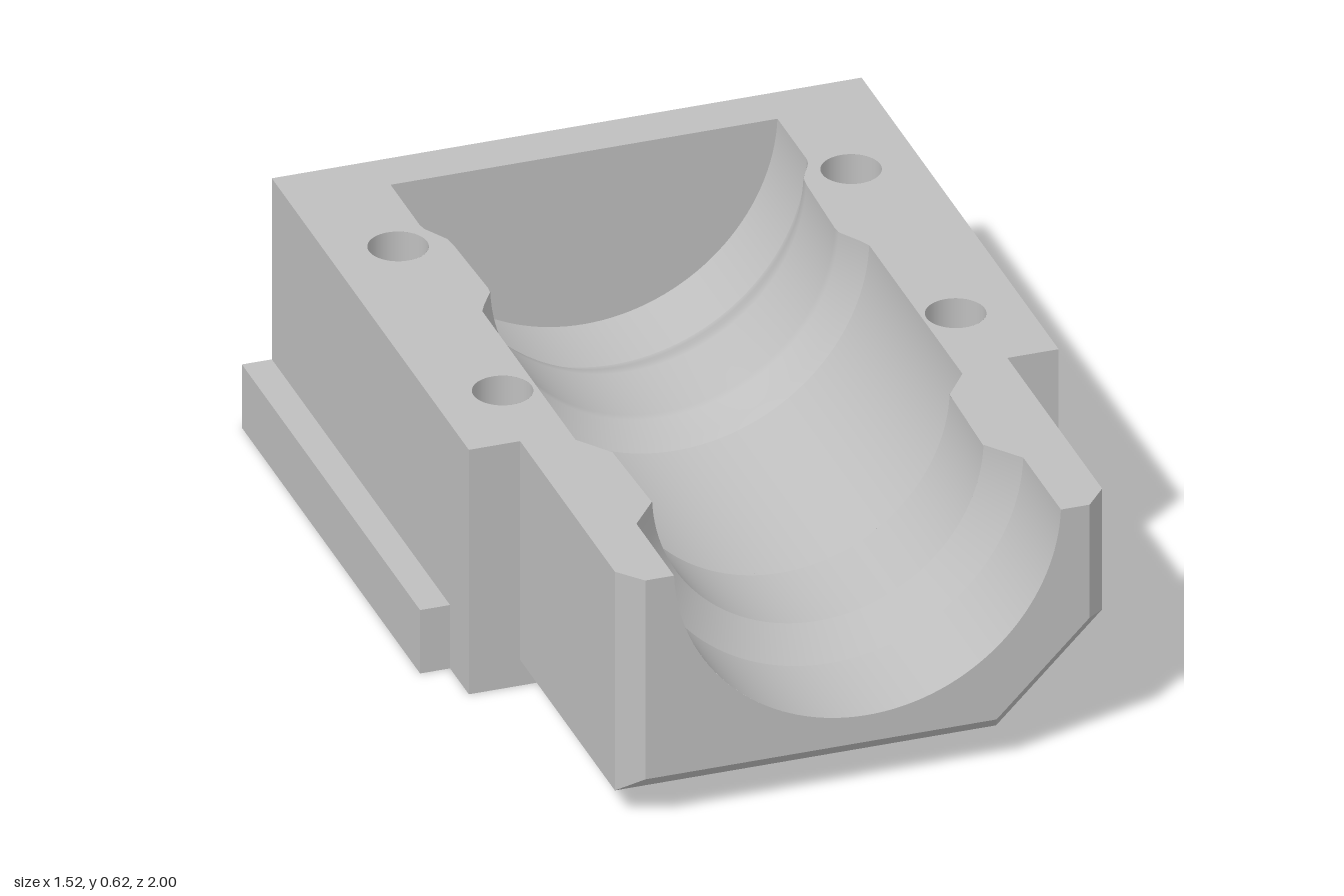
import * as THREE from 'three';

const TOP = 0.617, AXIS = 0.635, RISE = AXIS - TOP; // bore axis sits just above the split plane
const BASE = 0.16, R = 0.453;
const HOLES = [[0.53, -0.615], [-0.53, -0.615], [0.53, 0.08], [-0.53, 0.08]];

// Bore profile as [z, radius], one list per smooth stretch
const BORE = [
  [[1, R], [0.75, R]],
  [[0.75, R], [0.67, 0.388]],
  [[0.67, 0.388], [0.425, 0.395]],
  [[0.425, 0.395], [0.345, R]],
  [[0.345, R], [-0.275, R]],
  [[-0.275, R], [-0.3, 0.44], [-0.35, 0.408], [-0.37, 0.406], [-0.58, 0.413], [-0.61, 0.417], [-0.67, 0.449], [-0.69, R]],
  [[-0.69, R], [-0.885, R]],
];

const v2 = (pts) => pts.map(([x, y]) => new THREE.Vector2(x, y));
const mirror = (pts) => [...pts, ...pts.map(([x, y]) => [-x, y]).reverse()];
const tilt = (r) => Math.asin(RISE / r);

// Flat-shaded strip between rows of 3D points
function loft(rows) {
  const p = [];
  for (let i = 0; i + 1 < rows.length; i++) {
    for (let j = 0; j + 1 < rows[i].length; j++) {
      const a = rows[i][j], b = rows[i][j + 1], c = rows[i + 1][j + 1], d = rows[i + 1][j];
      p.push(...a, ...b, ...c, ...a, ...c, ...d);
    }
  }
  const g = new THREE.BufferGeometry();
  g.setAttribute('position', new THREE.Float32BufferAttribute(p, 3));
  g.computeVertexNormals();
  return g;
}

// Upright face with the round bore cut out of its top edge
function notchedFace(pts, z) {
  const s = new THREE.Shape(v2(pts));
  s.absarc(0, AXIS, R, -tilt(R), -Math.PI + tilt(R), true);
  return new THREE.ShapeGeometry(s, 48).translate(0, 0, z);
}

// Plan shapes use y = -z, then lie flat facing up
const planShape = (pts) => new THREE.Shape(v2(pts.map(([x, z]) => [x, -z])));
const circle = (x, z, r) => new THREE.Path().absarc(x, -z, r, 0, Math.PI * 2, false);
const hexagon = (x, z, r) => v2(Array.from({ length: 6 }, (_, i) =>
  [x + r * Math.cos(i * Math.PI / 3), -z + r * Math.sin(i * Math.PI / 3)]));

export function createModel() {
  const model = new THREE.Group();
  model.name = 'splitBoreBlock';
  const grey = new THREE.MeshStandardMaterial({ color: 0xbfbfbf, side: THREE.DoubleSide });
  grey.name = 'grey';
  const add = (name, geometry, parent = model) => {
    const m = new THREE.Mesh(geometry, grey);
    m.name = name;
    parent.add(m);
    return m;
  };

  // Base slab with side flanges and hexagonal nut pockets
  const base = planShape(mirror([[0.76, -1], [0.76, 0.185], [0.69, 0.185], [0.69, 0.31]]));
  for (const [x, z] of HOLES) base.holes.push(new THREE.Path(hexagon(x, z, 0.13)));
  add('baseSlab', new THREE.ExtrudeGeometry(base, { depth: BASE, bevelEnabled: false }).rotateX(-Math.PI / 2));

  // Bolt holes and the shoulders above the nut pockets
  for (const [x, z] of HOLES) {
    const shoulder = new THREE.Shape(hexagon(x, z, 0.13));
    shoulder.holes.push(circle(x, z, 0.068));
    add('pocketShoulder', new THREE.ShapeGeometry(shoulder, 32).rotateX(-Math.PI / 2).translate(0, BASE, 0));
    add('boltHole', new THREE.CylinderGeometry(0.068, 0.068, TOP - BASE, 32, 1, true)
      .translate(x, (TOP + BASE) / 2, z));
  }

  // Body side and back walls, and the front shoulder around the nose
  const plan = [[0.69, 0.31], [0.69, -1], [-0.69, -1], [-0.69, 0.31]];
  add('bodyWalls', loft([BASE, TOP].map((y) => plan.map(([x, z]) => [x, y, z]))));
  add('bodyFront', notchedFace([[-0.69, TOP], [-0.69, BASE], [0.69, BASE], [0.69, TOP]], 0.31));

  // Nose with one cut lower corner and a bevelled front rim
  const outer = [[-0.57, TOP], [-0.57, 0.065], [0.322, 0.065], [0.57, 0.312], [0.57, TOP]];
  const inner = [[-0.52, TOP], [-0.52, 0.115], [0.302, 0.115], [0.52, 0.332], [0.52, TOP]];
  const row = (pts, z) => pts.map(([x, y]) => [x, y, z]);
  add('noseWalls', loft([row(outer, 0.31), row(outer, 0.94), row(inner, 1)]));
  add('noseFront', notchedFace(inner, 1));

  // Top split face following the bore outline, pierced by the bolt holes
  const edge = BORE.flatMap((part, i) => (i ? part.slice(1) : part))
    .map(([z, r]) => [Math.sqrt(r * r - RISE * RISE), z]);
  const top = planShape(mirror([[0.69, -1], [0.69, 0.31], [0.57, 0.31], [0.57, 0.94], [0.52, 1], ...edge]));
  for (const [x, z] of HOLES) top.holes.push(circle(x, z, 0.068));
  add('topFace', new THREE.ShapeGeometry(top, 32).rotateX(-Math.PI / 2).translate(0, TOP, 0));

  // Half-round stepped bore
  const bore = new THREE.Group();
  bore.name = 'bore';
  model.add(bore);
  for (const part of BORE) {
    const e = tilt(part[0][1]);
    const g = new THREE.LatheGeometry(v2(part.map(([z, r]) => [r, z])), 64, -Math.PI / 2 + e, Math.PI - 2 * e);
    add('boreSection', g.rotateX(Math.PI / 2).translate(0, AXIS, 0), bore);
  }

  // Closed rear end of the bore
  const end = new THREE.Shape().absarc(0, AXIS, R, Math.PI + tilt(R), 2 * Math.PI - tilt(R), false);
  add('boreEnd', new THREE.ShapeGeometry(end, 64).translate(0, 0, -0.885), bore);

  return model;
}
